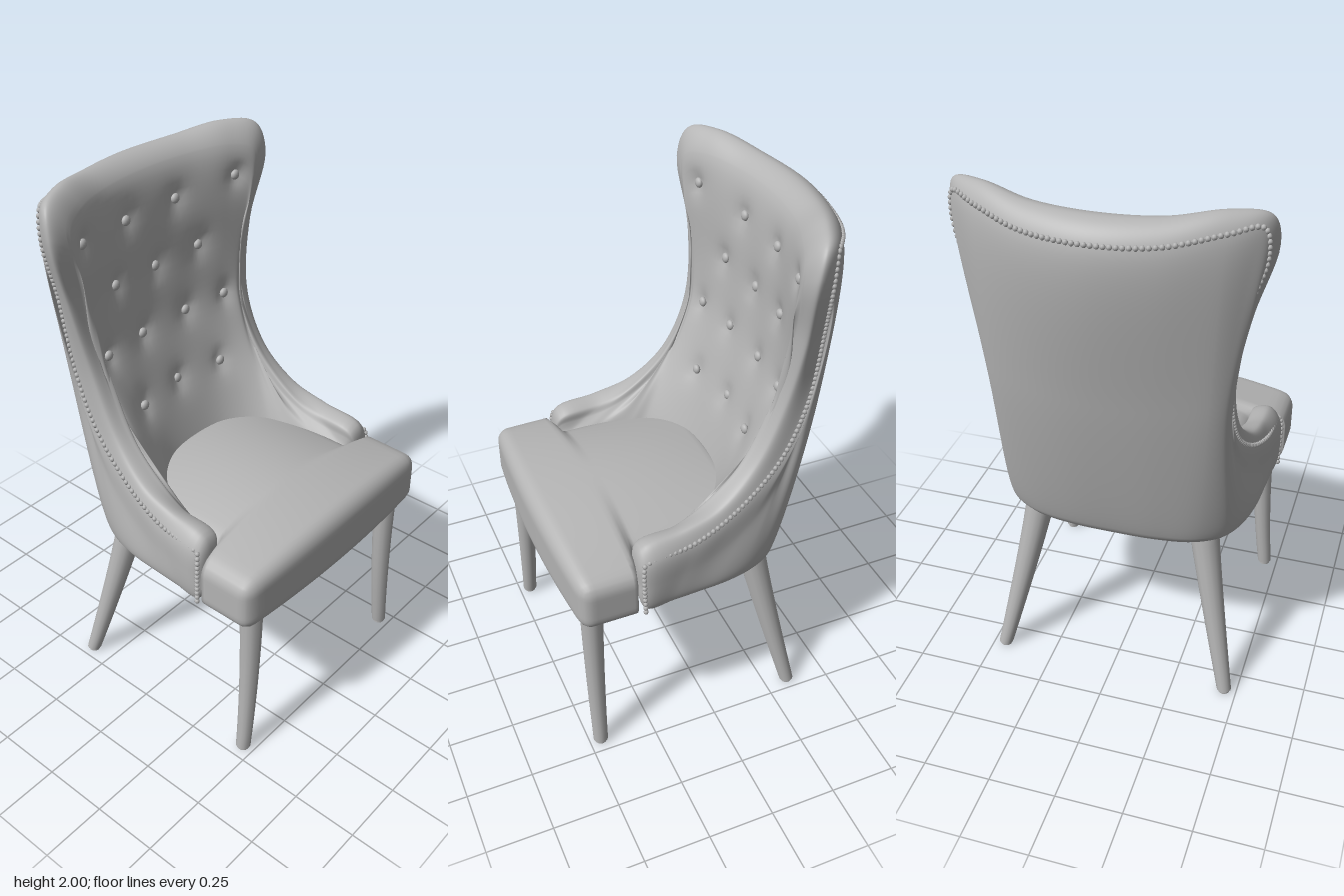
import * as THREE from 'three';
import { mergeGeometries, mergeVertices } from 'three/addons/utils/BufferGeometryUtils.js';

const V = (x, y, z) => new THREE.Vector3(x, y, z);
const upholstery = new THREE.MeshStandardMaterial({ color: 0xb4b4b4, side: THREE.DoubleSide });
upholstery.name = 'grey';

// Guide lines of the left half, from the centre of the back round to the arm front
const NAIL = [[0, 1.91, -.545], [.22, 1.915, -.51], [.40, 1.945, -.43], [.50, 1.95, -.36], [.515, 1.85, -.345], [.45, 1.62, -.365],
  [.425, 1.35, -.345], [.43, 1.13, -.25], [.455, .98, -.08], [.48, .91, .09], [.49, .88, .28]];
const CREST = [[0, 1.975, -.47], [.22, 1.98, -.44], [.40, 2, -.37], [.515, 1.975, -.31], [.537, 1.87, -.28], [.47, 1.62, -.295],
  [.42, 1.35, -.265], [.42, 1.13, -.17], [.44, 1, -.03], [.45, .955, .12], [.45, .925, .28]];
const INNER = [[0, 1.93, -.385], [.2, 1.93, -.365], [.36, 1.93, -.31], [.45, 1.9, -.27], [.46, 1.82, -.26], [.41, 1.62, -.28],
  [.37, 1.35, -.25], [.375, 1.13, -.15], [.385, .99, 0], [.395, .94, .12], [.395, .91, .28]];
// Plan outlines (x, z) of the shell foot outside and of the seat well inside
const FOOT = [[0, -.33], [.17, -.325], [.31, -.30], [.40, -.25], [.43, -.21], [.455, -.15], [.47, -.09], [.48, -.02], [.485, .07], [.49, .17], [.49, .28]];
const WELL = [[0, -.14], [.13, -.125], [.22, -.08], [.28, -.02], [.30, .03], [.32, .08], [.335, .13], [.345, .17], [.355, .21], [.37, .25], [.39, .28]];
// Bow of the outer side (x, z) and of the inner side (z) at half height
const BOW_X = [0, 0, .01, -.035, -.045, -.03, -.012, 0, .005, .008, .008];
const BOW_Z = [-.035, -.04, -.05, -.08, -.075, -.045, -.02, 0, 0, 0, 0];
const BOW_IN = [-.045, -.055, -.09, -.125, -.15, -.115, -.09, -.05, -.01, 0, 0];

const BUTTONS = [[-.385, 1.815], [-.125, 1.79], [.125, 1.79], [.385, 1.815], [-.215, 1.585], [0, 1.575], [.215, 1.585],
  [-.31, 1.36], [-.115, 1.36], [.115, 1.36], [.31, 1.36], [-.21, 1.13], [0, 1.135], [.21, 1.13]];

// Curve through a half line and its mirror image
function mirroredCurve(half) {
  const other = half.slice(1).reverse().map(p => V(-p.x, p.y, p.z));
  return new THREE.CatmullRomCurve3([...other, ...half]);
}

function mesh(name, geometry) {
  const m = new THREE.Mesh(geometry, upholstery);
  m.name = name;
  return m;
}

// Wrap-around back and arms, lofted across the guide lines
function buildShell() {
  const nail = NAIL.map(p => V(...p)), crest = CREST.map(p => V(...p)), inner = INNER.map(p => V(...p));
  const foot = FOOT.map(([x, z]) => V(x, .685, z));
  const hem = FOOT.map(([x, z]) => V(x * .95, .655, z * .95));
  const well = WELL.map(([x, z]) => V(x, .85, z));
  const outerMid = nail.map((p, i) => p.clone().lerp(foot[i], .5).add(V(BOW_X[i], 0, BOW_Z[i])));
  const innerMid = inner.map((p, i) => p.clone().lerp(well[i], .5).add(V(0, 0, BOW_IN[i])));
  const curves = [hem, foot, outerMid, nail, crest, inner, innerMid, well]
    .map(line => mirroredCurve([...line, V(.44, .8, .305)]));

  const NU = 154, NV = 126;
  const geo = new THREE.PlaneGeometry(1, 1, NU, NV), pos = geo.attributes.position;
  for (let i = 0; i <= NU; i++) {
    const section = new THREE.CatmullRomCurve3(curves.map(c => c.getPoint(i / NU)));
    for (let j = 0; j <= NV; j++) {
      const p = section.getPoint(j / NV);
      pos.setXYZ(j * (NU + 1) + i, p.x, p.y, p.z);
    }
  }
  // Tufting dimples pressed into the inner face, and the spots for the buttons
  const firstInner = Math.round(NV * .7) * (NU + 1);
  const spots = BUTTONS.map(([x, y]) => {
    let best = Infinity, spot = V(x, y, 0);
    for (let k = firstInner; k < pos.count; k++) {
      const d = (pos.getX(k) - x) ** 2 + (pos.getY(k) - y) ** 2;
      if (d < best) { best = d; spot.z = pos.getZ(k); }
    }
    return spot;
  });
  for (let k = firstInner; k < pos.count; k++) {
    let dent = 0;
    for (const s of spots) {
      const d = (pos.getX(k) - s.x) ** 2 + (pos.getY(k) - s.y) ** 2;
      dent += .015 * Math.exp(-d / .0008) + .01 * Math.exp(-d / .004);
    }
    pos.setZ(k, pos.getZ(k) - dent);
  }
  geo.computeVertexNormals();
  return { geo, spots };
}

// Box with rounded edges and evenly spread vertices, then bent by a rule
function softBox(w, h, d, r, segs, warp) {
  let geo = new THREE.BoxGeometry(w, h, d, ...segs);
  geo.deleteAttribute('uv');
  geo.deleteAttribute('normal');
  geo = mergeVertices(geo);
  const pos = geo.attributes.position, p = V(0, 0, 0), core = V(w / 2 - r, h / 2 - r, d / 2 - r);
  for (let k = 0; k < pos.count; k++) {
    p.fromBufferAttribute(pos, k);
    const c = p.clone().clamp(core.clone().negate(), core);
    const out = p.clone().sub(c);
    if (out.lengthSq() > 0) p.copy(c).addScaledVector(out.normalize(), r);
    warp(p);
    pos.setXYZ(k, p.x, p.y, p.z);
  }
  geo.computeVertexNormals();
  return geo;
}

// T-shaped domed cushion, narrow between the arms and full width in front
function buildSeat() {
  return softBox(1.02, .2, .75, .05, [36, 14, 48], p => {
    const up = THREE.MathUtils.clamp((p.y + .1) / .2, 0, 1);
    p.y += .76;
    p.z += .175;
    const dome = (1 - (p.x / .52) ** 2) * (1 - ((p.z - .15) / .6) ** 2);
    p.y += .085 * dome * up;
    if (p.z > .3) p.z -= .03 * (p.x / .5) ** 2 * (p.z - .3) / .25;
    p.x *= THREE.MathUtils.lerp(.76, 1, THREE.MathUtils.smoothstep(p.z, .28, .315));
  });
}

// Tapered leg swept from top to foot; bend > 1 makes the foot kick out
function buildLeg(top, foot, rTop, rFoot, bend) {
  const geo = new THREE.CylinderGeometry(1, 1, 1, 14, 10), pos = geo.attributes.position;
  for (let k = 0; k < pos.count; k++) {
    const t = .5 - pos.getY(k), s = Math.pow(t, bend);
    const r = THREE.MathUtils.lerp(rTop, rFoot, t);
    pos.setXYZ(k, THREE.MathUtils.lerp(top.x, foot.x, s) + pos.getX(k) * r,
      THREE.MathUtils.lerp(top.y, foot.y, t),
      THREE.MathUtils.lerp(top.z, foot.z, Math.pow(t, 1.1)) + pos.getZ(k) * r);
  }
  geo.computeVertexNormals();
  return geo;
}

export function createModel() {
  const chair = new THREE.Group();
  chair.name = 'chair';

  const { geo, spots } = buildShell();
  chair.add(mesh('backAndArms', geo), mesh('seatCushion', buildSeat()));

  // Buttons sunk in the dimples
  const buttons = spots.map(s => new THREE.SphereGeometry(.019, 14, 10).scale(1, 1, .7).translate(s.x, s.y, s.z - .016));
  chair.add(mesh('buttons', mergeGeometries(buttons)));

  // Row of nail heads along the rim and down the arm fronts
  const rim = mirroredCurve([...NAIL.map(p => V(...p)), V(.497, .86, .286), V(.497, .67, .282)]);
  const nails = rim.getSpacedPoints(230).map(p => new THREE.SphereGeometry(.0095, 7, 5).translate(p.x, p.y, p.z));
  chair.add(mesh('nailHeads', mergeGeometries(nails)));

  // Closed underside
  const half = FOOT.map(([x, z]) => new THREE.Vector2(x * .95, z * .95));
  const outline = [...half.slice(1).reverse().map(p => new THREE.Vector2(-p.x, p.y)), ...half];
  const base = new THREE.ExtrudeGeometry(new THREE.Shape(outline), { depth: .03, bevelEnabled: false });
  chair.add(mesh('underside', base.rotateX(Math.PI / 2).translate(0, .685, 0)));

  // Legs with small glides
  for (const side of [1, -1]) {
    const name = side > 0 ? 'left' : 'right';
    chair.add(mesh(name + 'FrontLeg', buildLeg(V(side * .408, .7, .455), V(side * .447, .012, .457), .043, .028, 2)));
    chair.add(mesh(name + 'BackLeg', buildLeg(V(side * .315, .7, -.205), V(side * .452, .012, -.34), .057, .028, 1.1)));
    for (const [x, z, part] of [[.447, .457, 'Front'], [.452, -.34, 'Back']]) {
      const glide = mesh(name + part + 'Glide', new THREE.CylinderGeometry(.022, .022, .014, 14));
      glide.position.set(side * x, .007, z);
      chair.add(glide);
    }
  }
  return chair;
}
